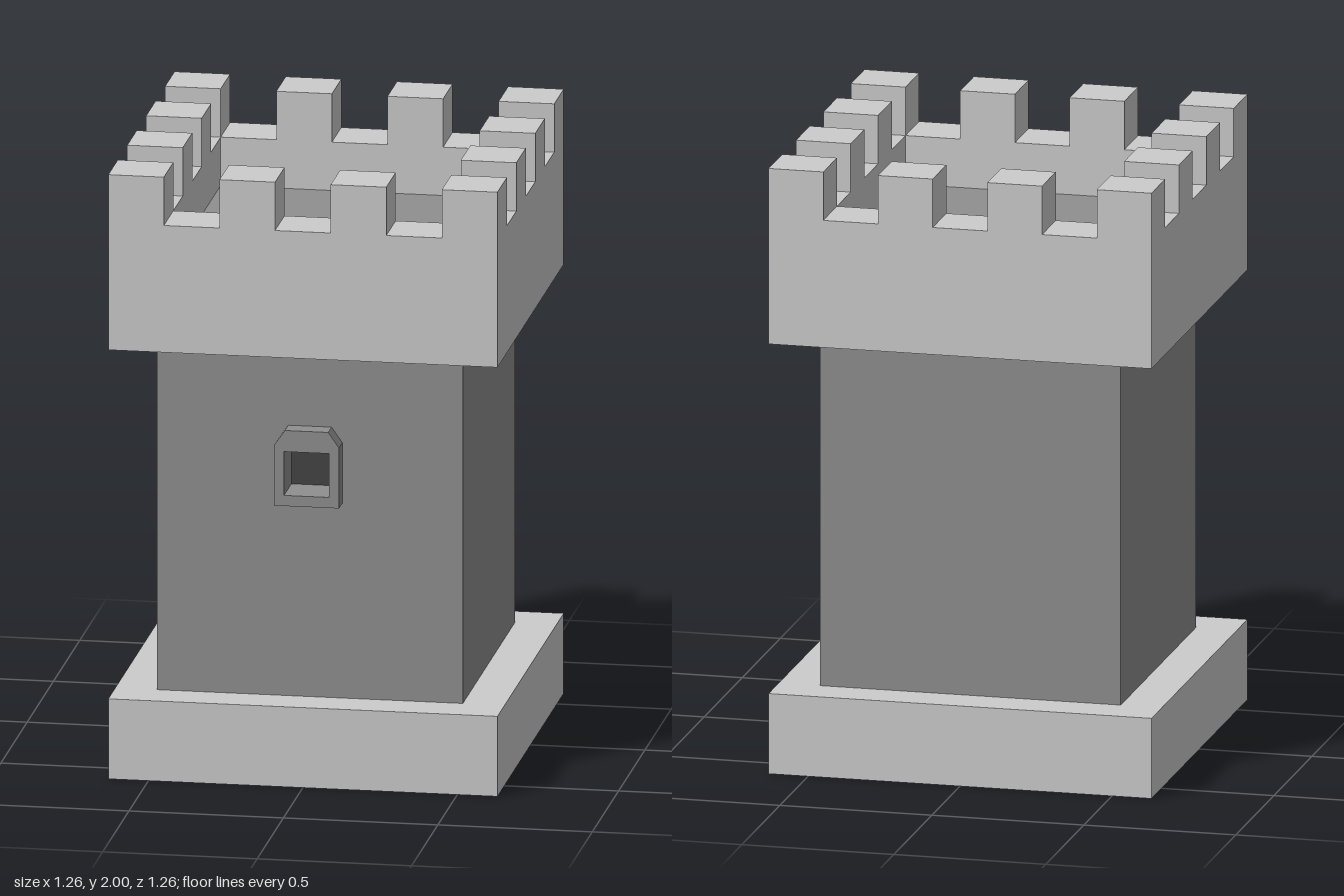
import * as THREE from 'three';

const light = new THREE.MeshStandardMaterial({ color: 0xcccccc, flatShading: true });
const dark = new THREE.MeshStandardMaterial({ color: 0x8f8f8f, flatShading: true });
const black = new THREE.MeshStandardMaterial({ color: 0x444444, flatShading: true });

function add(parent, name, geometry, material, x = 0, y = 0, z = 0) {
  const mesh = new THREE.Mesh(geometry, material);
  mesh.name = name;
  mesh.position.set(x, y, z);
  parent.add(mesh);
  return mesh;
}

const outline = (pts) => new THREE.Shape(pts.map(([x, y]) => new THREE.Vector2(x, y)));
const rect = (x, y0, y1) => [[-x, y0], [x, y0], [x, y1], [-x, y1]];

// Plate with a rectangular opening, extruded along +z
function pierced(outer, hole, depth) {
  const shape = outline(outer);
  shape.holes.push(outline(hole));
  return new THREE.ExtrudeGeometry(shape, { depth, bevelEnabled: false });
}

export function createModel() {
  const tower = new THREE.Group();
  tower.name = 'tower';
  const half = 0.63, inner = 0.45, body = 0.495;
  const baseTop = 0.265, crownBottom = 1.42, crownTop = 1.84, floorY = 1.68;

  // Plinth
  add(tower, 'base', new THREE.BoxGeometry(2 * half, baseTop, 2 * half), light, 0, baseTop / 2, 0);

  // Shaft: solid core plus a front wall pierced by the window; its top is the roof floor
  const shaft = new THREE.Group();
  shaft.name = 'shaft';
  tower.add(shaft);
  const recess = 0.08, height = floorY - baseTop;
  const opening = rect(0.073, 0.945, 1.09);
  add(shaft, 'shaftCore', new THREE.BoxGeometry(2 * body, height, 2 * body - recess), dark,
    0, baseTop + height / 2, -recess / 2);
  add(shaft, 'frontWall', pierced(rect(body, baseTop, floorY), opening, recess), dark,
    0, 0, body - recess);

  // Window frame with clipped upper corners, and the dark pane behind it
  const frame = [[-0.105, 0.91], [0.105, 0.91], [0.105, 1.11], [0.07, 1.16], [-0.07, 1.16], [-0.105, 1.11]];
  add(tower, 'windowFrame', pierced(frame, opening, 0.065), dark, 0, 0, body);
  add(tower, 'windowPane', new THREE.PlaneGeometry(0.146, 0.145), black,
    0, 1.0175, body - recess + 0.003);

  // Parapet ring
  const ring = pierced(rect(half, -half, half), rect(inner, -inner, inner), crownTop - crownBottom);
  ring.rotateX(-Math.PI / 2);
  add(tower, 'parapet', ring, light, 0, crownBottom, 0);

  // Merlons: four along each side, sharing the corners
  const size = half - inner, tall = 2 - crownTop;
  const merlon = new THREE.BoxGeometry(size, tall, size);
  for (let i = 0; i < 4; i++) {
    for (let j = 0; j < 4; j++) {
      if (i % 3 !== 0 && j % 3 !== 0) continue;
      add(tower, 'merlon', merlon, light, (i - 1.5) * 2 * size, crownTop + tall / 2, (j - 1.5) * 2 * size);
    }
  }
  return tower;
}
